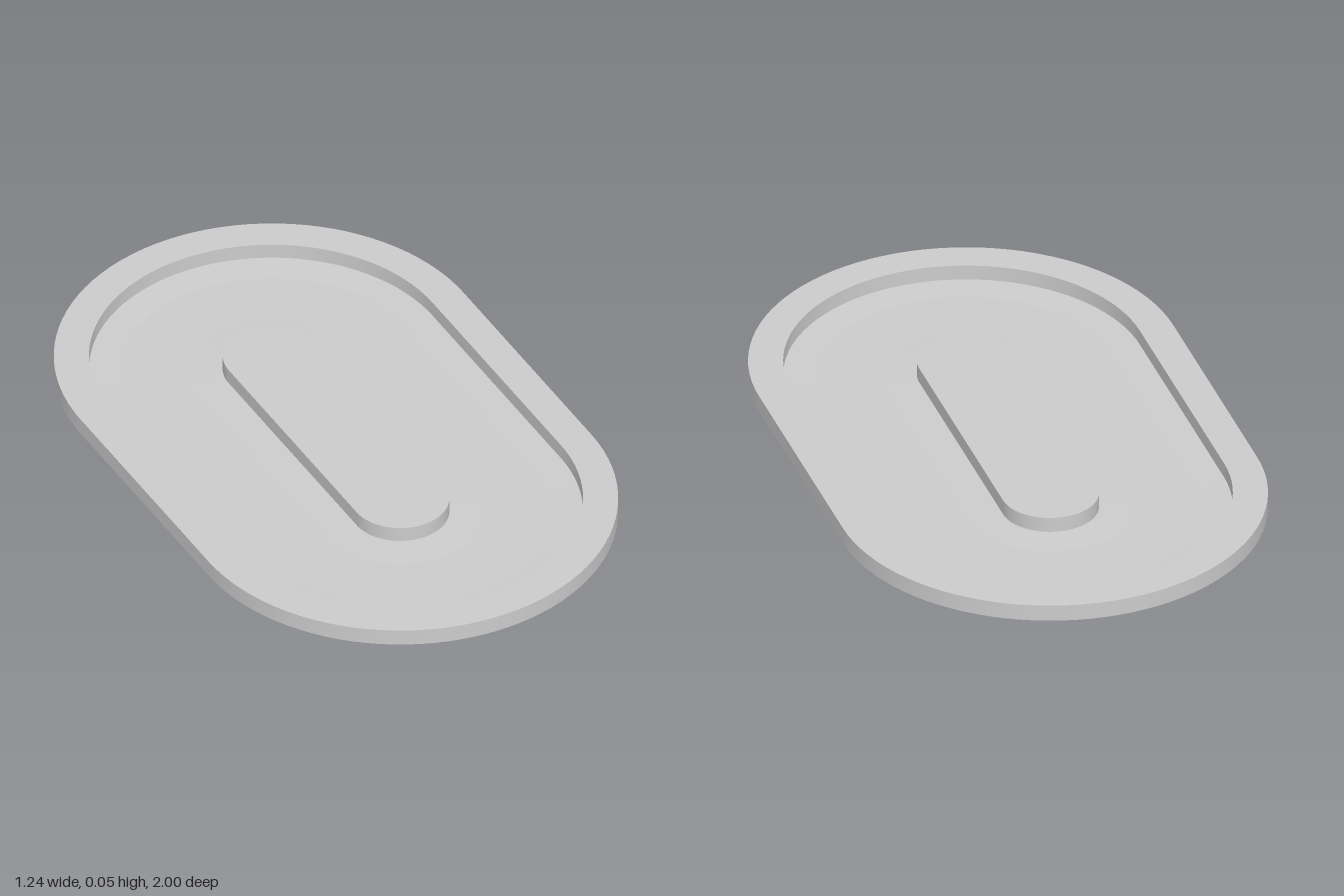
import * as THREE from 'three';

const STRAIGHT = 0.38; // half length of the straight sides
const ARC_STEPS = 48;  // facets per rounded end

// Points of a stadium outline with end radius r at height y
function outline(r, y) {
  const points = [];
  for (const end of [1, -1]) {
    for (let i = 0; i <= ARC_STEPS; i++) {
      const a = (i / ARC_STEPS) * Math.PI + (end > 0 ? 0 : Math.PI);
      points.push(r * Math.cos(a), y, end * STRAIGHT + r * Math.sin(a));
    }
  }
  return points;
}

// Closed band between two stadium outlines
function band([r0, y0], [r1, y1]) {
  const n = 2 * (ARC_STEPS + 1);
  const index = [];
  for (let i = 0; i < n; i++) {
    const j = (i + 1) % n;
    index.push(i, n + i, j, j, n + i, n + j);
  }
  const geometry = new THREE.BufferGeometry();
  const positions = [...outline(r0, y0), ...outline(r1, y1)];
  geometry.setAttribute('position', new THREE.Float32BufferAttribute(positions, 3));
  geometry.setIndex(index);
  geometry.computeVertexNormals();
  return geometry;
}

export function createModel() {
  const group = new THREE.Group();
  group.name = 'ovalTray';
  const material = new THREE.MeshStandardMaterial({ color: 0xcccccc, side: THREE.DoubleSide });

  // Thin shell profile from the outer foot to the centre: [radius, height]
  const profile = [
    [0.62, 0], [0.62, 0.05], [0.52, 0.05], [0.52, 0.004],
    [0.43, 0], [0.24, 0], [0.14, 0.004], [0.14, 0.05], [0, 0.05],
  ];
  const names = [
    'outerWall', 'rimTop', 'innerWall', 'outerFloorSlope',
    'floor', 'innerFloorSlope', 'islandWall', 'islandTop',
  ];
  names.forEach((name, i) => {
    const mesh = new THREE.Mesh(band(profile[i], profile[i + 1]), material);
    mesh.name = name;
    group.add(mesh);
  });
  return group;
}
